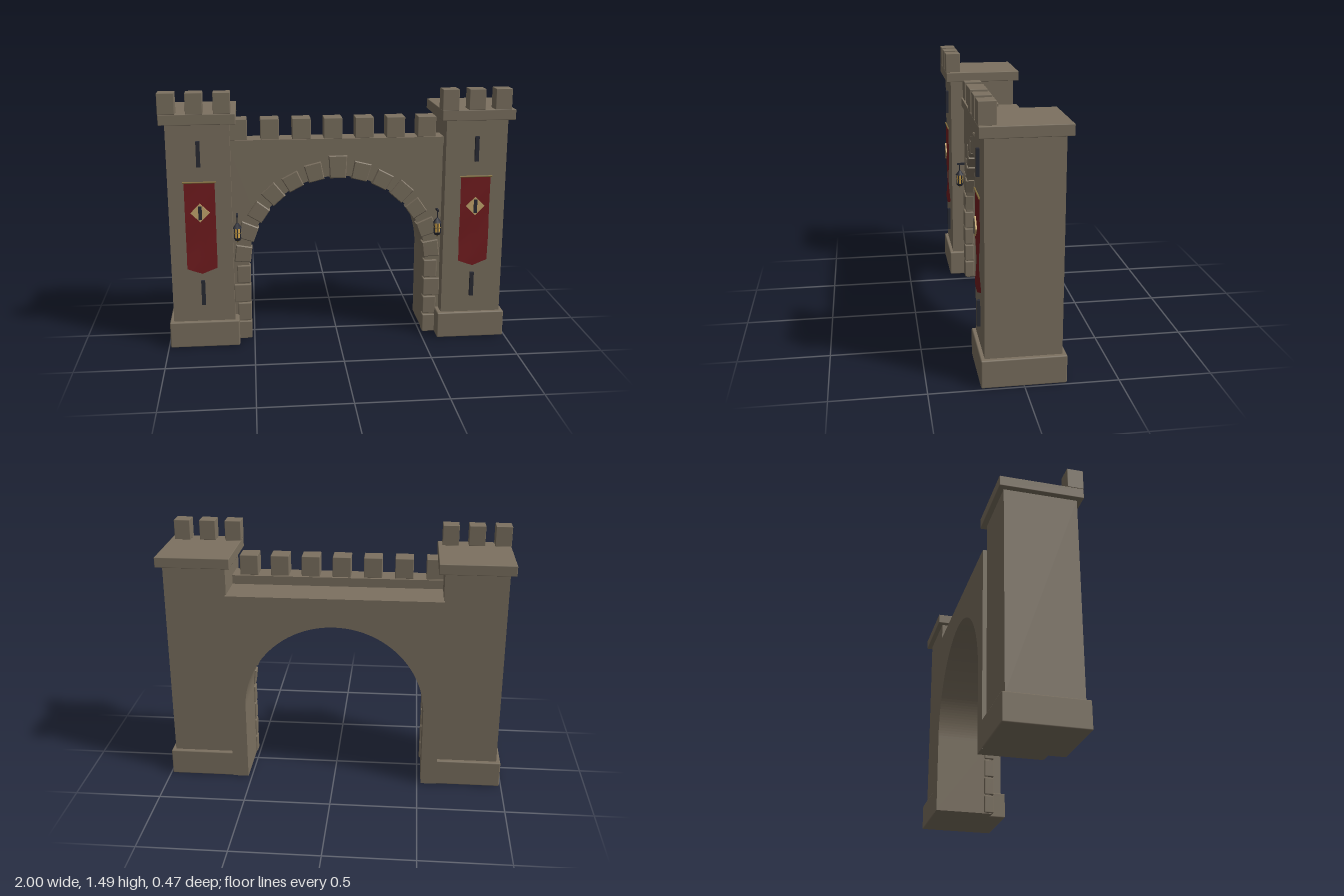
import * as THREE from 'three';
import { RoundedBoxGeometry } from 'three/addons/geometries/RoundedBoxGeometry.js';

const mat = (name, color, side = THREE.FrontSide) => {
  const m = new THREE.MeshStandardMaterial({ color, side });
  m.name = name;
  return m;
};

export function createModel() {
  const stone = mat('stone', 0x7c7160);
  const iron = mat('dark iron', 0x2a2c35);
  const cloth = mat('red cloth', 0x751d20, THREE.DoubleSide);
  const gold = mat('pale gold', 0xc9ab70);
  const brass = mat('brass', 0x8a7440);
  const glow = mat('lantern glow', 0xe0b050);

  const root = new THREE.Group();
  root.name = 'castleGate';
  const add = (parent, name, geo, m, x = 0, y = 0, z = 0) => {
    const mesh = new THREE.Mesh(geo, m);
    mesh.name = name;
    mesh.position.set(x, y, z);
    parent.add(mesh);
    return mesh;
  };
  // Box given by its limits, with an optional rounded edge
  const block = (parent, name, m, x0, x1, y0, y1, z0, z1, r = 0) => {
    const s = [x1 - x0, y1 - y0, z1 - z0];
    const geo = r ? new RoundedBoxGeometry(...s, 1, r) : new THREE.BoxGeometry(...s);
    return add(parent, name, geo, m, (x0 + x1) / 2, (y0 + y1) / 2, (z0 + z1) / 2);
  };

  // Gate wall with its round-headed opening
  const SPRING = 0.465, R = 0.522, HALF = 0.615;
  const s = new THREE.Shape();
  s.moveTo(-HALF, 0);
  s.lineTo(-R, 0);
  s.lineTo(-R, SPRING);
  s.absarc(0, SPRING, R, Math.PI, 0, true);
  s.lineTo(R, 0);
  s.lineTo(HALF, 0);
  s.lineTo(HALF, 1.155);
  s.lineTo(-HALF, 1.155);
  s.closePath();
  add(root, 'gateWall', new THREE.ExtrudeGeometry(s, { depth: 0.345, bevelEnabled: false, curveSegments: 48 }), stone, 0, 0, -0.225);

  // Parapet and its merlons
  block(root, 'parapet', stone, -HALF, HALF, 1.155, 1.207, 0, 0.135);
  for (let i = 0; i < 7; i++) {
    const x = -0.567 + i * 0.18;
    block(root, 'wallMerlon', stone, x - 0.053, x + 0.053, 1.205, 1.325, 0.016, 0.126, 0.004);
  }

  // Bevelled arch stones, the keystone being taller
  const arch = new THREE.Group();
  arch.name = 'archStones';
  root.add(arch);
  const N = 13, pitch = Math.PI / N, b = 0.005;
  for (let i = 0; i < N; i++) {
    const key = i === 6;
    const outer = key ? 0.642 : i % 2 ? 0.615 : 0.605;
    const wi = 0.046, wo = key ? 0.054 : 0.051, inner = 0.51;
    const v = new THREE.Shape([[-wi, inner], [wi, inner], [wo, outer], [-wo, outer]].map(p => new THREE.Vector2(...p)));
    const geo = new THREE.ExtrudeGeometry(v, { depth: 0.05, bevelSize: b, bevelOffset: -b, bevelThickness: b, bevelSegments: 1 });
    const m = add(arch, key ? 'keystone' : 'voussoir', geo, stone, 0, SPRING, key ? 0.079 : 0.076);
    m.rotation.z = (i + 0.5) * pitch - Math.PI / 2;
  }

  // Jamb stones below the arch, alternating in width
  for (const side of [-1, 1]) {
    for (let i = 0; i < 4; i++) {
      const h = 0.116, w = i % 2 ? 0.08 : 0.1;
      add(root, 'jambStone', new RoundedBoxGeometry(w, h - 0.008, 0.06, 1, 0.006), stone,
        side * (0.513 + w / 2), h * (i + 0.5) + 0.001, 0.103);
    }
  }

  // Hanging cloth with a pointed hem and soft folds
  const bannerGeo = () => {
    const g = new THREE.PlaneGeometry(0.172, 1, 8, 16), p = g.attributes.position;
    for (let i = 0; i < p.count; i++) {
      const x = p.getX(i), t = 0.5 - p.getY(i);
      const len = 0.535 - 0.36 * Math.abs(x);
      p.setY(i, 0.985 - t * len);
      p.setZ(i, 0.214 + 0.006 * t * Math.sin(t * 9 + x * 22));
    }
    g.computeVertexNormals();
    return g;
  };

  const tower = (side) => {
    const t = new THREE.Group();
    t.name = side > 0 ? 'leftTower' : 'rightTower';
    t.position.x = side * 0.788;
    root.add(t);
    block(t, 'towerBase', stone, -0.201, 0.201, 0, 0.156, -0.225, 0.225, 0.007);
    block(t, 'towerShaft', stone, -0.177, 0.177, 0.15, 1.32, -0.202, 0.203);
    block(t, 'towerCap', stone, -0.209, 0.212, 1.315, 1.375, -0.233, 0.233, 0.004);
    for (let i = 0; i < 3; i++) {
      const x = -0.163 + i * 0.151;
      block(t, 'towerMerlon', stone, x - 0.047, x + 0.047, 1.374, 1.492, 0.142, 0.233, 0.003);
    }

    // Arrow slits above and below the banner
    for (const y of [0.333, 1.148])
      block(t, 'arrowSlit', iron, -0.011, 0.011, y - 0.073, y + 0.073, 0.2, 0.22);

    // Banner, its rod and its diamond emblem
    add(t, 'banner', bannerGeo(), cloth);
    const rod = add(t, 'bannerRod', new THREE.CylinderGeometry(0.005, 0.005, 0.188, 8), brass, 0, 0.988, 0.216);
    rod.rotation.z = Math.PI / 2;
    const d = 0.054;
    const diamond = new THREE.Shape([[0, -d], [d, 0], [0, d], [-d, 0]].map(p => new THREE.Vector2(...p)));
    add(t, 'emblem', new THREE.ExtrudeGeometry(diamond, { depth: 0.008, bevelEnabled: false }), gold, 0, 0.815, 0.222);
    block(t, 'emblemBar', iron, -0.01, 0.01, 0.775, 0.855, 0.224, 0.233);
  };

  // Lantern hanging from an iron bracket
  const lantern = (side) => {
    const l = new THREE.Group();
    l.name = 'lantern';
    l.position.set(side * 0.584, 0, 0.155);
    root.add(l);
    block(l, 'bracketArm', iron, -0.005, 0.005, 0.768, 0.78, -0.045, 0.018);
    add(l, 'hanger', new THREE.CylinderGeometry(0.003, 0.003, 0.05, 6), iron, 0, 0.748, 0);
    add(l, 'lanternRoof', new THREE.CylinderGeometry(0.006, 0.028, 0.03, 6), iron, 0, 0.715, 0);
    add(l, 'lanternGlass', new THREE.CylinderGeometry(0.02, 0.016, 0.06, 6), glow, 0, 0.67, 0);
    add(l, 'lanternFloor', new THREE.CylinderGeometry(0.024, 0.016, 0.016, 6), iron, 0, 0.634, 0);
    add(l, 'lanternTip', new THREE.ConeGeometry(0.01, 0.018, 6), brass, 0, 0.62, 0).rotation.x = Math.PI;
    const band = add(l, 'lanternBand', new THREE.TorusGeometry(0.021, 0.003, 5, 12), brass, 0, 0.672, 0);
    band.rotation.x = Math.PI / 2;
    for (let i = 0; i < 6; i++) {
      const a = i * Math.PI / 3;
      add(l, 'lanternBar', new THREE.CylinderGeometry(0.003, 0.003, 0.064, 5), iron,
        Math.sin(a) * 0.02, 0.67, Math.cos(a) * 0.02);
    }
  };

  for (const side of [-1, 1]) {
    tower(side);
    lantern(side);
  }
  return root;
}
